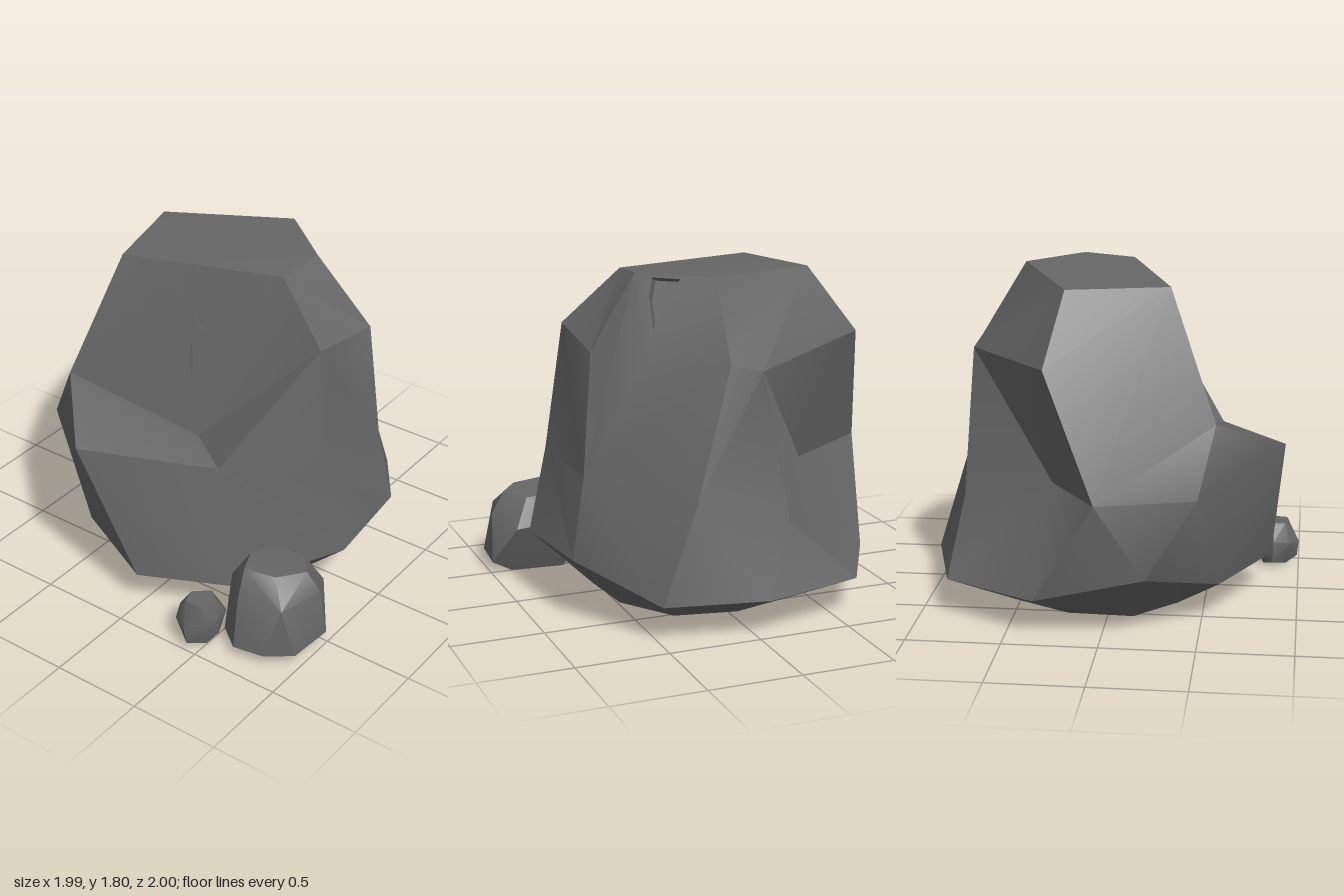
import * as THREE from 'three';
import { toCreasedNormals } from 'three/addons/utils/BufferGeometryUtils.js';
import { ConvexGeometry } from 'three/addons/geometries/ConvexGeometry.js';

const stone = new THREE.MeshStandardMaterial({ color: 0x666666 });
stone.name = 'grey stone';

const CREASE = 0.56;
const vec = (p) => new THREE.Vector3(...p);

function stoneMesh(name, geo) {
  const mesh = new THREE.Mesh(toCreasedNormals(geo, CREASE), stone);
  mesh.name = name;
  return mesh;
}

// Collects triangles; polygons are fanned and turned away from the centre
class Surface {
  constructor(centre) {
    this.centre = vec(centre);
    this.data = [];
  }
  tri(a, b, c) {
    for (const p of [a, b, c]) this.data.push(p.x, p.y, p.z);
  }
  poly(...pts) {
    for (let i = 1; i < pts.length - 1; i++) {
      const [a, b, c] = [pts[0], pts[i], pts[i + 1]];
      const n = b.clone().sub(a).cross(c.clone().sub(a));
      const mid = a.clone().add(b).add(c).divideScalar(3).sub(this.centre);
      if (n.dot(mid) >= 0) this.tri(a, b, c);
      else this.tri(a, c, b);
    }
  }
  // Flat face with a sunken crack; side is +1 when seen from +z, -1 from -z
  cracked(outer, crack, side, depth) {
    const flat = (p) => new THREE.Vector2(side * p.x, p.y);
    const ccw = (pts) => (THREE.ShapeUtils.isClockWise(pts.map(flat)) ? pts.slice().reverse() : pts);
    const plane = new THREE.Plane().setFromCoplanarPoints(outer[0], outer[1], outer[2]);
    if (plane.normal.z * side < 0) plane.negate();
    const n = plane.normal;
    const rim = ccw(crack.map(([x, y]) =>
      new THREE.Vector3(x, y, -(plane.constant + n.x * x + n.y * y) / n.z)));
    const floor = rim.map((p) => p.clone().addScaledVector(n, -depth));
    const fill = (contour, holes) => {
      const all = [...contour, ...holes.flat()];
      const faces = THREE.ShapeUtils.triangulateShape(contour.map(flat), holes.map((h) => h.map(flat)));
      for (const f of faces) {
        const t = ccw(f.map((i) => all[i]));
        this.tri(...t);
      }
    };
    fill(ccw(outer), [rim.slice().reverse()]);
    fill(floor, []);
    rim.forEach((a, i) => {
      const j = (i + 1) % rim.length;
      this.tri(a, rim[j], floor[j]);
      this.tri(a, floor[j], floor[i]);
    });
  }
  geometry() {
    const geo = new THREE.BufferGeometry();
    geo.setAttribute('position', new THREE.Float32BufferAttribute(this.data, 3));
    return geo;
  }
}

function boulder() {
  const s = new Surface([0, 0.6, 0]);
  // Rim of the flat top
  const [A, B, C, D, E] = [
    [-0.47, 1.77, 0.32], [0.37, 1.78, 0.05], [0.39, 1.8, -0.23],
    [0.05, 1.8, -0.51], [-0.61, 1.77, -0.21]].map(vec);
  // Front ledge
  const [H, I, J, K] = [
    [-0.66, 1.1, 0.57], [-0.33, 0.92, 0.92], [0.33, 0.86, 0.56], [0.07, 0.88, 0.39]].map(vec);
  // Left side
  const [F, G, M] = [[-0.87, 1.41, -0.29], [-1, 0.75, -0.02], [-0.85, 0.75, 0.49]].map(vec);
  // Right side and its groove
  const [L, X, U, Y, gap] = [
    [0.67, 1.49, 0.14], [0.75, 0.79, 0.22], [0.67, 1.42, -0.33],
    [0.73, 0.77, -0.37], [0.41, 1.42, -0.44]].map(vec);
  // Back, with a deep hollow on the left
  const [Z, backLow, backMid, shelf, hollow] = [
    [0.07, 1.39, -0.76], [0.3, 0.72, -0.88], [-0.1, 1.35, -0.78],
    [-0.24, 0.55, -0.82], [-0.54, 0.73, -0.29]].map(vec);
  // Widest ring near the ground
  const ring = [
    [0, 0.2, 0.85], [0.48, 0.2, 0.62], [0.87, 0.34, 0.16], [0.81, 0.34, -0.41], [0.49, 0.2, -0.89],
    [-0.06, 0.2, -1], [-0.62, 0.2, -0.85], [-0.9, 0.2, -0.35], [-0.92, 0.34, 0.23], [-0.54, 0.2, 0.59]].map(vec);
  const [V, W, R1, R2, Q, S, T, O, N, P] = ring;

  s.poly(A, B, C, D, E);
  // Front face with its zigzag crack
  s.cracked([H, K, B, A], [
    [-0.15, 1.74], [-0.1, 1.67], [-0.085, 1.57], [0.015, 1.42], [-0.045, 1.35],
    [-0.01, 1.17], [-0.025, 1.34], [0.04, 1.425], [-0.065, 1.58], [-0.085, 1.66], [-0.06, 1.71]], 1, 0.03);
  s.poly(K, J, L, B);
  s.poly(H, I, J, K);
  s.poly(I, V, W, J);
  s.poly(J, W, R1, X, L);
  // Right side
  s.poly(B, L, U, C);
  s.poly(L, X, Y, U);
  s.poly(X, R1, R2, Y);
  s.poly(C, U, Y, gap);
  s.poly(Y, R2, Q, backLow, Z, gap);
  s.poly(gap, Z, D);
  s.cracked([C, D, gap], [
    [0.2, 1.78], [0.32, 1.78], [0.35, 1.68], [0.36, 1.53], [0.31, 1.62], [0.27, 1.7]], -1, 0.06);
  // Left side
  s.poly(A, E, F, G, H);
  s.poly(H, G, M);
  s.poly(H, M, I);
  s.poly(I, P, V);
  s.poly(I, M, P);
  s.poly(M, N, P);
  s.poly(G, N, M);
  s.poly(G, O, N);
  // Back
  s.poly(G, hollow, O);
  s.poly(hollow, T, O);
  s.poly(F, hollow, G);
  s.poly(E, D, Z, backMid, F);
  s.poly(backMid, Z, backLow, shelf, hollow, F);
  s.poly(backLow, Q, S);
  s.poly(backLow, S, shelf);
  s.poly(shelf, S, T, hollow);
  // Undercut and base
  const base = ring.map((p) => new THREE.Vector3(p.x * 0.61, 0.01, p.z * 0.61));
  ring.forEach((p, i) => {
    const j = (i + 1) % ring.length;
    s.poly(p, ring[j], base[j], base[i]);
  });
  s.poly(...base);
  return stoneMesh('boulder', s.geometry());
}

// Small faceted stones, each the hull of a few corners
const smallStone = (name, corners) => stoneMesh(name, new ConvexGeometry(corners.map(vec)));

const mediumCorners = [
  // underside
  [0.58, 0, 0.47], [0.88, 0, 0.5], [0.86, 0, 0.74], [0.62, 0, 0.78],
  // widest edge
  [0.99, 0.06, 0.5], [0.97, 0.06, 0.76], [0.84, 0.06, 0.86], [0.67, 0.06, 0.89], [0.54, 0.06, 0.79],
  // shoulder
  [0.46, 0.2, 0.63], [0.5, 0.2, 0.37], [0.68, 0.3, 0.355], [0.88, 0.28, 0.37], [0.975, 0.34, 0.54],
  [0.9, 0.33, 0.79], [0.66, 0.33, 0.84], [0.51, 0.34, 0.68],
  // top
  [0.57, 0.45, 0.6], [0.63, 0.46, 0.74], [0.8, 0.455, 0.7], [0.9, 0.45, 0.56], [0.8, 0.44, 0.44], [0.64, 0.44, 0.46],
];

const pebbleCorners = [
  // underside
  [0.37, 0.01, 0.8], [0.48, 0.01, 0.79], [0.51, 0.02, 0.91], [0.39, 0.01, 0.93],
  // sides
  [0.3, 0.04, 0.85], [0.54, 0.06, 0.84], [0.44, 0.04, 0.99], [0.3, 0.16, 0.86], [0.35, 0.15, 0.75],
  [0.45, 0.13, 0.72], [0.53, 0.16, 0.76], [0.55, 0.17, 0.86], [0.52, 0.13, 0.95], [0.43, 0.13, 1], [0.34, 0.14, 0.95],
  // top
  [0.36, 0.25, 0.84], [0.38, 0.25, 0.92], [0.5, 0.25, 0.93], [0.52, 0.25, 0.83], [0.44, 0.25, 0.77],
];

export function createModel() {
  const group = new THREE.Group();
  group.name = 'rocks';
  group.add(boulder(), smallStone('mediumStone', mediumCorners), smallStone('pebble', pebbleCorners));
  return group;
}
